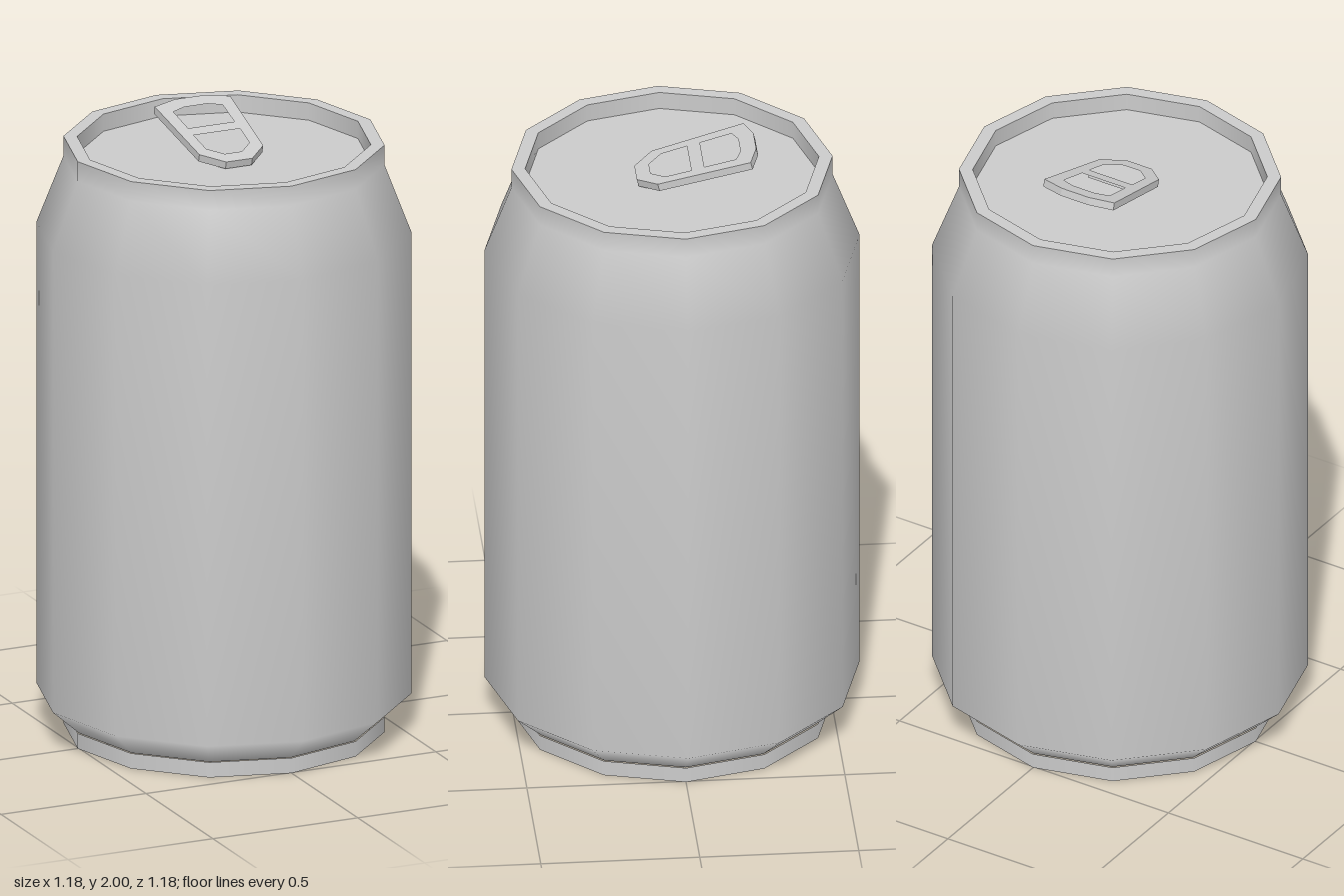
import * as THREE from 'three';

const SIDES = 12;
const material = new THREE.MeshStandardMaterial({ color: 0xcccccc });

// Twelve-sided turned part, smooth along its own profile
function turned(name, profile) {
  const points = profile.map(([r, y]) => new THREE.Vector2(r, y));
  const mesh = new THREE.Mesh(new THREE.LatheGeometry(points, SIDES), material);
  mesh.name = name;
  return mesh;
}

// Mirrored outline from its right half, given as [x, z] from back to front
function mirrored(half, PathType) {
  const left = half.map(([x, z]) => [-x, z]).reverse();
  return new PathType([...half, ...left].map(([x, z]) => new THREE.Vector2(x, -z)));
}

function createTab() {
  const outline = mirrored([[0.05, -0.275], [0.13, -0.25], [0.11, 0.05], [0.045, 0.112]], THREE.Shape);
  outline.holes.push(
    mirrored([[0.04, -0.225], [0.085, -0.207], [0.08, -0.104]], THREE.Path),
    mirrored([[0.08, -0.062], [0.075, 0.023], [0.03, 0.066]], THREE.Path),
  );
  const geometry = new THREE.ExtrudeGeometry(outline, { depth: 0.025, bevelEnabled: false });
  geometry.rotateX(-Math.PI / 2);
  // Lifted at the back
  geometry.rotateX(0.25);
  geometry.translate(0, 1.908, 0);
  const tab = new THREE.Mesh(geometry, material);
  tab.name = 'pullTab';
  return tab;
}

export function createModel() {
  const can = new THREE.Group();
  can.name = 'drinkCan';

  can.add(
    // Recessed underside and foot ring
    turned('bottomPanel', [[0, 0.045], [0.46, 0.045]]),
    turned('footInnerWall', [[0.46, 0.045], [0.46, 0]]),
    turned('footEdge', [[0.46, 0], [0.505, 0]]),
    turned('footOuterWall', [[0.505, 0], [0.505, 0.05]]),
    // Body with chamfered base, sloped shoulder and neck
    turned('body', [[0.5, 0.05], [0.59, 0.13], [0.59, 1.65], [0.505, 1.87], [0.505, 1.935]]),
    // Rim and recessed lid
    turned('rimEdge', [[0.505, 1.935], [0.462, 1.935]]),
    turned('rimInnerWall', [[0.462, 1.935], [0.462, 1.878]]),
    turned('lid', [[0.462, 1.878], [0, 1.878]]),
    createTab(),
  );
  return can;
}
